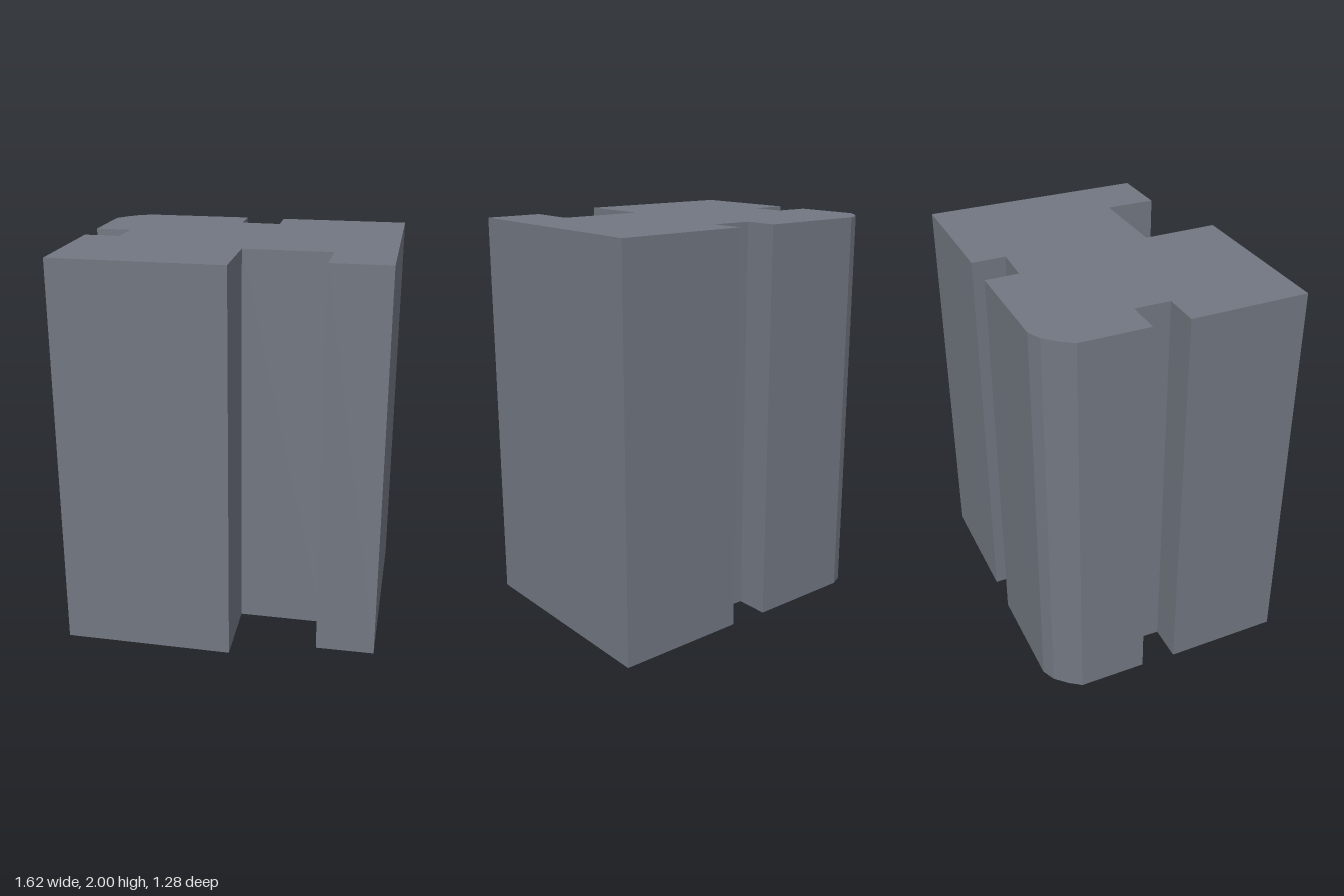
import * as THREE from 'three';

const HEIGHT = 2;

// Footprint as [x, z], running from the rounded back corner round the block
const FOOTPRINT = [
  // back edge with its narrow slot
  [-0.605, -0.64], [-0.06, -0.625], [-0.062, -0.459], [0.142, -0.445], [0.143, -0.615], [0.807, -0.596],
  // front edge with its wide recess
  [0.776, 0.525], [0.48, 0.52], [0.49, 0.271], [0.05, 0.26], [0.046, 0.638], [-0.808, 0.612],
  // side edge with its narrow slot
  [-0.796, 0.026], [-0.611, 0.031], [-0.605, -0.146], [-0.786, -0.152],
  // rounded back corner
  [-0.776, -0.495], [-0.731, -0.555], [-0.673, -0.611],
];

export function createModel() {
  const group = new THREE.Group();
  group.name = 'slottedBlock';

  // The shape is drawn in x and -z, extruded, then stood upright
  const shape = new THREE.Shape(FOOTPRINT.map(([x, z]) => new THREE.Vector2(x, -z)));
  const geometry = new THREE.ExtrudeGeometry(shape, { depth: HEIGHT, bevelEnabled: false });
  geometry.rotateX(-Math.PI / 2);

  const material = new THREE.MeshStandardMaterial({ color: 0x727781, flatShading: true });
  const block = new THREE.Mesh(geometry, material);
  block.name = 'block';
  group.add(block);
  return group;
}
